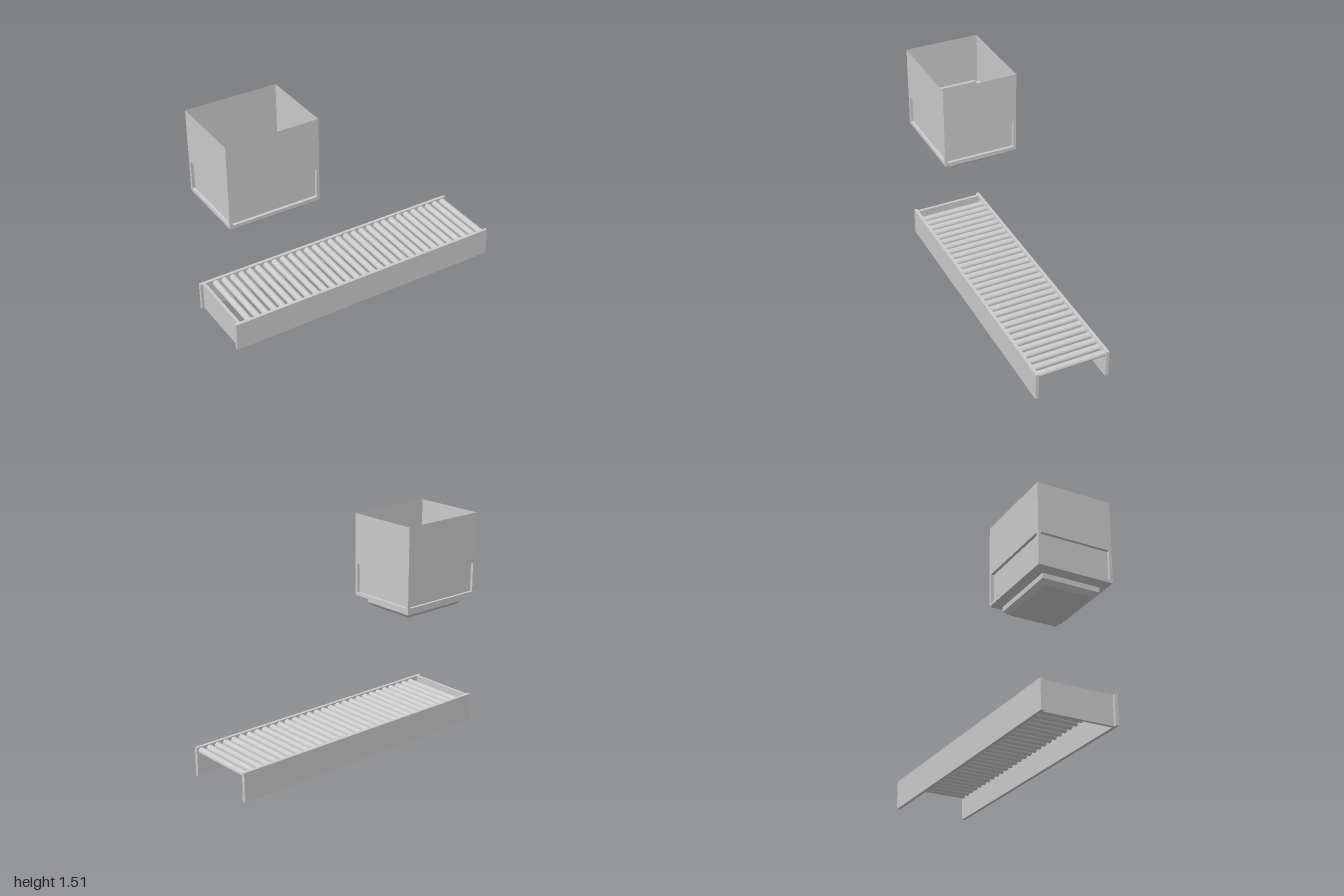
import * as THREE from 'three';

const grey = new THREE.MeshStandardMaterial({ color: 0xcccccc });
const sheet = new THREE.MeshStandardMaterial({ color: 0xcccccc, side: THREE.DoubleSide, flatShading: true });

function add(parent, name, geometry, material, x = 0, y = 0, z = 0) {
  const mesh = new THREE.Mesh(geometry, material);
  mesh.name = name;
  mesh.position.set(x, y, z);
  parent.add(mesh);
  return mesh;
}

// Thin rectangular funnel through sections [halfWidth, halfDepth, y], running downwards, closed at the last one
function funnel(sections) {
  const corners = sections.map(([w, d, y]) => [[-w, y, d], [w, y, d], [w, y, -d], [-w, y, -d]]);
  const pos = [];
  const quad = (a, b, c, d) => pos.push(...a, ...b, ...c, ...a, ...c, ...d);
  for (let i = 0; i < corners.length - 1; i++) {
    for (let k = 0; k < 4; k++) {
      const n = (k + 1) % 4;
      quad(corners[i + 1][k], corners[i + 1][n], corners[i][n], corners[i][k]);
    }
  }
  const end = corners[corners.length - 1];
  quad(end[3], end[2], end[1], end[0]);
  const g = new THREE.BufferGeometry();
  g.setAttribute('position', new THREE.Float32BufferAttribute(pos, 3));
  g.computeVertexNormals();
  return g;
}

function rect(path, x0, y0, x1, y1) {
  path.moveTo(x0, y0).lineTo(x1, y0).lineTo(x1, y1).lineTo(x0, y1).closePath();
  return path;
}

function makeConveyor() {
  const conveyor = new THREE.Group();
  conveyor.name = 'rollerConveyor';

  // Side rails and the recessed end plate
  for (const s of [-1, 1]) {
    add(conveyor, s > 0 ? 'frontRail' : 'backRail', new THREE.BoxGeometry(2, 0.2, 0.022), grey, 0, 0.1, s * 0.25);
  }
  add(conveyor, 'endPlate', new THREE.BoxGeometry(0.02, 0.2, 0.48), grey, -0.97, 0.1, 0);

  // Row of rollers
  const roller = new THREE.CylinderGeometry(0.023, 0.023, 0.48, 24).rotateX(Math.PI / 2);
  for (let i = 0; i < 30; i++) {
    add(conveyor, 'roller', roller, grey, 0.967 - i * 0.0639, 0.172, 0);
  }
  return conveyor;
}

function makeHopper() {
  const hopper = new THREE.Group();
  hopper.name = 'hopper';
  hopper.position.x = -0.685;
  const W = 0.315, D = 0.261, bottom = 0.94, top = 1.515;
  const low = 0.962, high = 1.165, inset = 0.02;

  // Four thin walls, each with a recessed panel
  for (let i = 0; i < 4; i++) {
    const half = i % 2 ? D : W;
    const out = i % 2 ? W : D;
    const side = new THREE.Group();
    side.name = ['frontWall', 'leftWall', 'backWall', 'rightWall'][i];
    side.rotation.y = i * Math.PI / 2;
    hopper.add(side);

    const shape = rect(new THREE.Shape(), -half, bottom, half, top);
    shape.holes.push(rect(new THREE.Path(), -half + inset, low, half - inset, high));
    add(side, 'wallSheet', new THREE.ShapeGeometry(shape), sheet, 0, 0, out);

    const w = half - inset, h = (high - low) / 2;
    const recess = funnel([[w, h, 0], [w, h, -inset]]).rotateX(Math.PI / 2);
    add(side, 'recessedPanel', recess, sheet, 0, (low + high) / 2, out);
  }

  // Sloped floor, collar and tapered closed outlet
  add(hopper, 'outlet', funnel([
    [W, D, bottom], [0.254, 0.2, 0.925], [0.254, 0.2, 0.89], [0.225, 0.17, 0.862],
  ]), sheet);
  return hopper;
}

export function createModel() {
  const model = new THREE.Group();
  model.name = 'hopperOverConveyor';
  model.add(makeConveyor(), makeHopper());
  return model;
}
